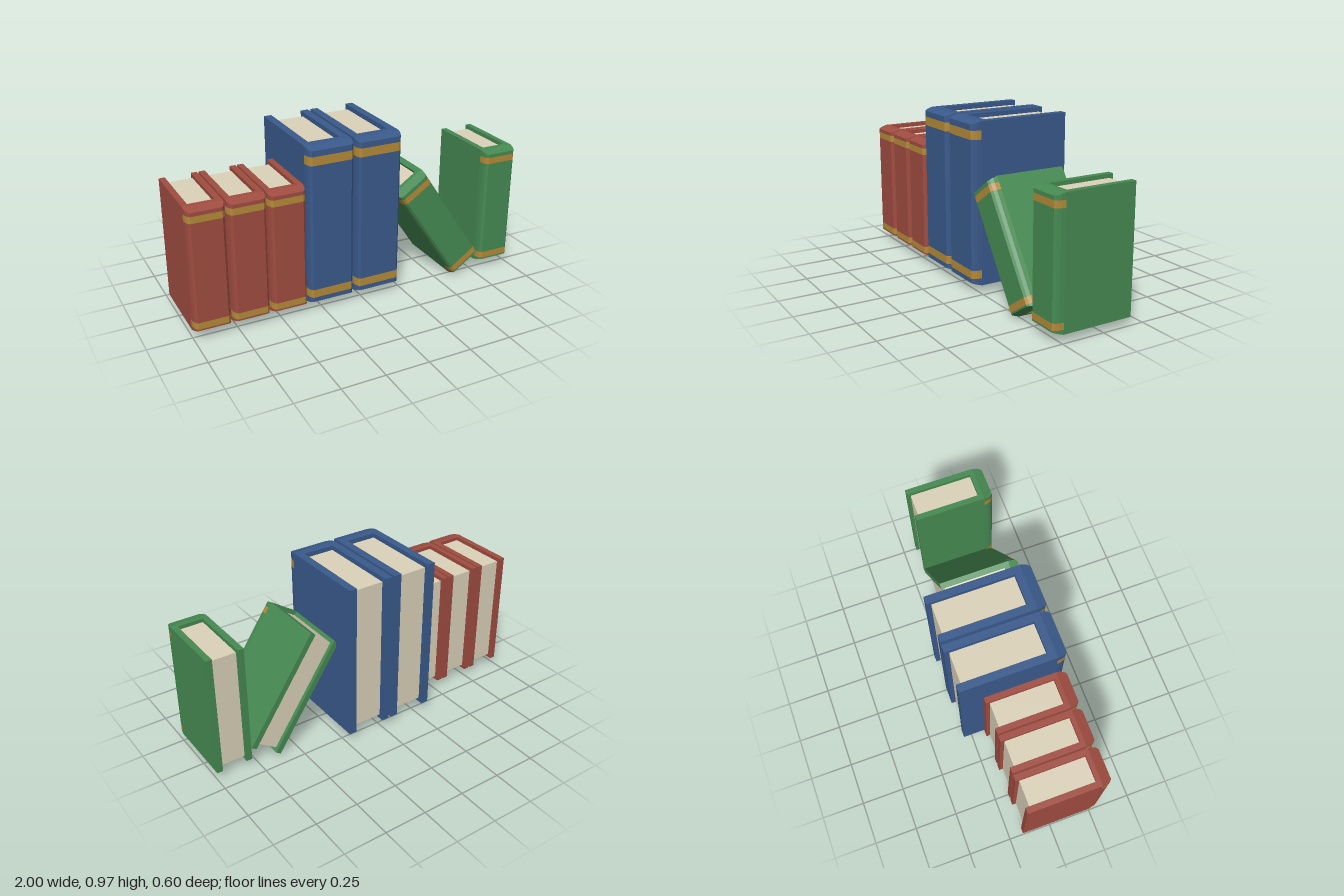
import * as THREE from 'three';

const material = (name, color) => {
  const m = new THREE.MeshStandardMaterial({ color });
  m.name = name;
  return m;
};

// Prism standing from y0 to y1 over an outline of [x, z] points
function prism(points, y0, y1) {
  const shape = new THREE.Shape(points.map(([x, z]) => new THREE.Vector2(x, -z)));
  const g = new THREE.ExtrudeGeometry(shape, { depth: y1 - y0, bevelEnabled: false });
  g.rotateX(-Math.PI / 2);
  g.translate(0, y0, 0);
  return g;
}

const FRONT = 0.3, BEND = 0.245, DROP = 0.016;

// One hardback book, centred on its own x and y; z is absolute
function book(name, s, cover, gold, paper) {
  const group = new THREE.Group();
  group.name = name;
  const add = (part, geometry, mat) => {
    const mesh = new THREE.Mesh(geometry, mat);
    mesh.name = part;
    group.add(mesh);
  };
  const w = s.width / 2, h = s.height / 2, inner = w - s.board;

  // Two boards joined by the back of the spine
  add('cover', prism([
    [-w, s.back], [-inner, s.back], [-inner, s.pageFront], [inner, s.pageFront],
    [inner, s.back], [w, s.back], [w, BEND], [-w, BEND],
  ], -h, h), cover);

  // Page block, recessed at the top, bottom and fore edge
  const depth = s.pageFront - s.back - s.recess;
  const pages = new THREE.BoxGeometry(inner * 2, s.height - 2 * s.recess, depth);
  pages.translate(0, 0, s.pageFront - depth / 2);
  add('pages', pages, paper);

  // Rounded spine in slices, with two gold bands; the ends slope in towards the front
  const outline = [
    [-w, BEND], [-w + 0.003, 0.27], [-w + 0.01, 0.289], [-w + 0.022, FRONT],
    [w - 0.022, FRONT], [w - 0.01, 0.289], [w - 0.003, 0.27], [w, BEND],
  ];
  const cuts = [-h, ...s.bands.map((y) => y - h), h];
  for (let i = 0; i < cuts.length - 1; i++) {
    const g = prism(outline, cuts[i], cuts[i + 1]);
    const p = g.attributes.position;
    for (let k = 0; k < p.count; k++) {
      const y = p.getY(k);
      if (Math.abs(y) > h - 1e-4) {
        p.setY(k, y - Math.sign(y) * DROP * (p.getZ(k) - BEND) / (FRONT - BEND));
      }
    }
    g.computeVertexNormals();
    add(i % 2 ? 'spineBand' : 'spine', g, i % 2 ? gold : cover);
  }
  return group;
}

export function createModel() {
  const model = new THREE.Group();
  model.name = 'bookRow';
  const red = material('red cover', 0xa04c40);
  const blue = material('blue cover', 0x3a5a8c);
  const green = material('green cover', 0x468a52);
  const gold = material('gold band', 0xb48a38);
  const paper = material('paper', 0xdcd2ba);

  const small = {
    width: 0.212, height: 0.71, board: 0.034, back: -0.17, pageFront: 0.22,
    recess: 0.022, bands: [0.025, 0.063, 0.635, 0.673],
  };
  const large = {
    width: 0.274, height: 0.922, board: 0.045, back: -0.3, pageFront: 0.2,
    recess: 0.027, bands: [0.042, 0.09, 0.823, 0.873],
  };

  const place = (name, size, cover, x, y, lean = 0) => {
    const b = book(name, size, cover, gold, paper);
    b.position.set(x, y, 0);
    b.rotation.z = lean;
    model.add(b);
  };

  // Three red, two blue, one leaning green and one upright green book
  [-0.894, -0.672, -0.45].forEach((x, i) => place(`redBook${i + 1}`, small, red, x, 0.403));
  [-0.198, 0.092].forEach((x, i) => place(`blueBook${i + 1}`, large, blue, x, 0.508));
  place('leaningGreenBook', small, green, 0.499, 0.354, THREE.MathUtils.degToRad(34));
  place('uprightGreenBook', small, green, 0.894, 0.403);
  return model;
}
